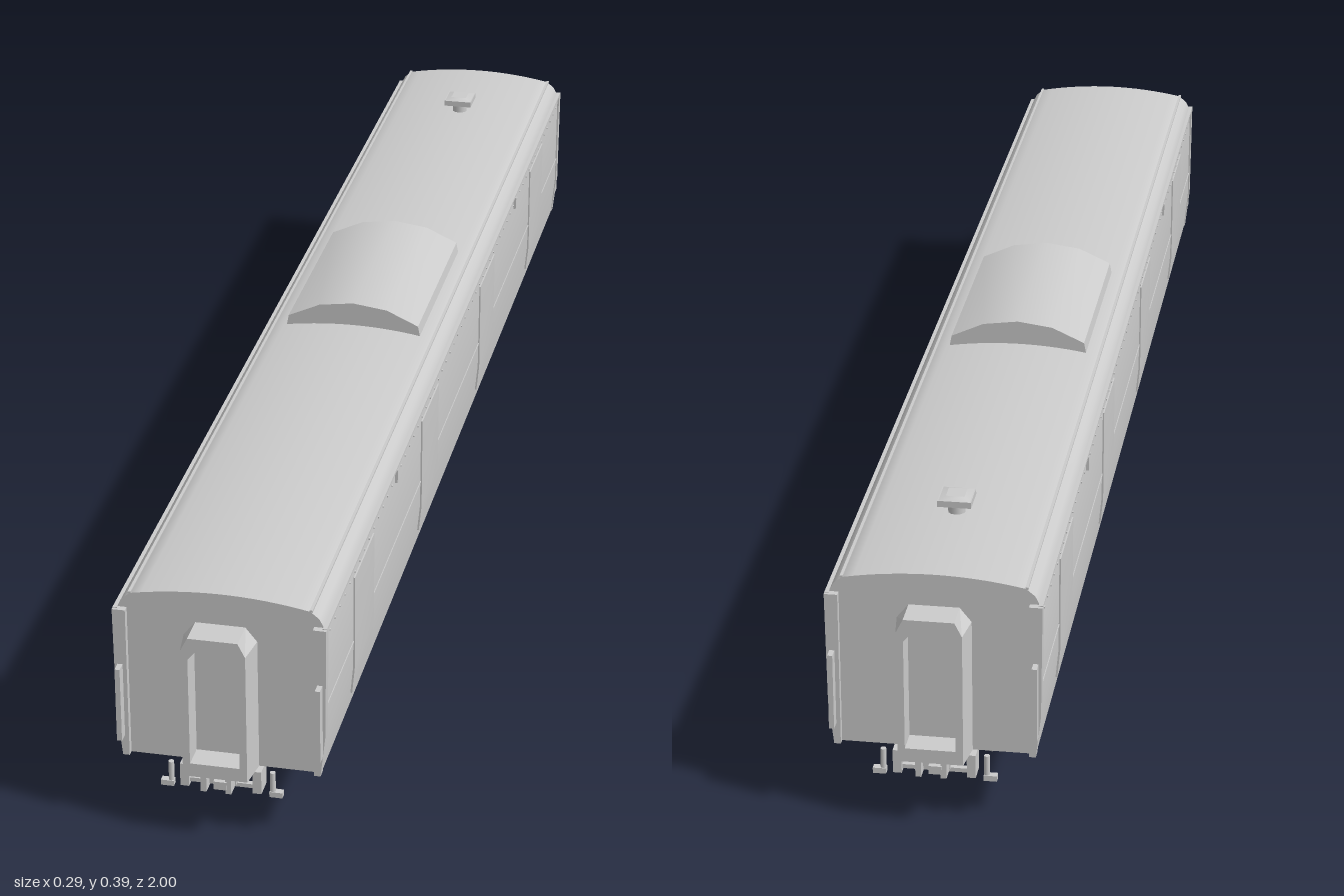
import * as THREE from 'three';
import { toCreasedNormals } from 'three/addons/utils/BufferGeometryUtils.js';

const material = new THREE.MeshStandardMaterial({ color: 0xcccccc, side: THREE.DoubleSide });

function add(parent, name, geometry, x = 0, y = 0, z = 0) {
  const mesh = new THREE.Mesh(geometry, material);
  mesh.name = name;
  mesh.position.set(x, y, z);
  parent.add(mesh);
  return mesh;
}
const box = (w, h, d) => new THREE.BoxGeometry(w, h, d);
const rodX = (r, len, n = 20) => new THREE.CylinderGeometry(r, r, len, n).rotateZ(Math.PI / 2);
const rodY = (r, len, n = 12) => new THREE.CylinderGeometry(r, r, len, n);
const shapeOf = pts => new THREE.Shape(pts.map(p => new THREE.Vector2(...p)));
// Mirrors a half outline (bottom to top) across x = 0
const mirrored = half => [...half, ...half.filter(p => p[0] > 0).reverse().map(([x, y]) => [-x, y])];

// Extrudes an outline along z, centred
function prism(shape, depth, crease = 0.5) {
  const g = new THREE.ExtrudeGeometry(shape, { depth, bevelEnabled: false, curveSegments: 8 });
  return toCreasedNormals(g.translate(0, 0, -depth / 2), crease);
}

function addBody(car) {
  // Tumblehome sides and shallow arched roof
  const half = [[0.135, 0.098], [0.141, 0.16], [0.142, 0.31], [0.14, 0.322], [0.134, 0.334], [0.122, 0.344]];
  for (let i = 1; i <= 8; i++) {
    const x = 0.122 * (1 - i / 8);
    half.push([x, 0.344 + 0.012 * (1 - (x / 0.122) ** 2)]);
  }
  add(car, 'body', prism(shapeOf(mirrored(half)), 1.91, 0.7));

  // Raised roof housing
  add(car, 'roofHousing', prism(shapeOf(mirrored([[0.104, 0.342], [0.1, 0.363], [0.052, 0.385], [0, 0.392]])), 0.315), 0, 0, -0.04);
  // Roof vent
  add(car, 'ventStem', rodY(0.012, 0.025), 0, 0.364, -0.765);
  add(car, 'ventCap', box(0.046, 0.009, 0.046), 0, 0.376, -0.765);
  add(car, 'ventTop', new THREE.CylinderGeometry(0.018, 0.032, 0.004, 4).rotateY(Math.PI / 4), 0, 0.382, -0.765);

  for (const s of [-1, 1]) {
    add(car, 'gutter', box(0.006, 0.004, 1.92), s * 0.142, 0.321, 0);
    add(car, 'roofSeam', box(0.004, 0.003, 1.91), s * 0.123, 0.3445, 0);
    add(car, 'beltSeam', box(0.002, 0.002, 1.91), s * 0.1415, 0.2, 0);
    // Sliding doors follow the side wall
    for (const z of [-0.715, -0.24, 0.24, 0.715]) {
      const outline = shapeOf([[0.13, 0.118], [0.1395, 0.118], [0.1435, 0.16], [0.144, 0.3], [0.13, 0.3]].map(([x, y]) => [s * x, y]));
      add(car, 'slidingDoor', prism(outline, 0.128), 0, 0, z);
    }
    // Row of rivets below the eaves
    const rivets = new THREE.InstancedMesh(box(0.002, 0.002, 0.004), material, 60);
    rivets.name = 'rivets';
    for (let i = 0; i < 60; i++) {
      rivets.setMatrixAt(i, new THREE.Matrix4().makeTranslation(s * 0.1425, 0.306, -0.93 + i * 1.86 / 59));
    }
    car.add(rivets);
    for (const z of [-0.495, 0.495]) add(car, 'drainSpout', box(0.006, 0.02, 0.006), s * 0.143, 0.309, z);
  }
}

// One car end, facing +z
function makeEnd() {
  const end = new THREE.Group();
  end.name = 'carEnd';
  // Tapered gangway frame with an open centre
  const frame = shapeOf(mirrored([[0.05, 0.098], [0.05, 0.29], [0.034, 0.31]]));
  const hole = mirrored([[0.034, 0.118], [0.034, 0.278], [0.024, 0.29]]);
  frame.holes.push(new THREE.Path(hole.map(p => new THREE.Vector2(...p))));
  const gangway = prism(frame, 0.045, 0.2);
  const p = gangway.attributes.position;
  for (let i = 0; i < p.count; i++) {
    if (p.getZ(i) > 0 && Math.abs(p.getX(i)) > 0.04) p.setX(i, p.getX(i) * 0.88);
  }
  gangway.computeVertexNormals();
  add(end, 'gangwayFrame', gangway, 0, 0, 0.9765);
  add(end, 'endDoor', box(0.068, 0.175, 0.012), 0, 0.205, 0.957);

  for (const s of [-1, 1]) {
    const post = shapeOf([[0.127, 0.098], [0.136, 0.098], [0.143, 0.16], [0.145, 0.322], [0.127, 0.322]].map(([x, y]) => [s * x, y]));
    add(end, 'cornerPost', prism(post, 0.015), 0, 0, 0.957);
    add(end, 'cornerHandrail', box(0.007, 0.11, 0.016), s * 0.136, 0.184, 0.972);
    add(end, 'bufferBracket', box(0.012, 0.034, 0.03), s * 0.05, 0.08, 0.955);
    add(end, 'hose', rodY(0.004, 0.035), s * 0.07, 0.077, 0.962);
    add(end, 'hoseEnd', box(0.018, 0.008, 0.01), s * 0.075, 0.062, 0.962);
    add(end, 'couplerJaw', box(0.008, 0.025, 0.022), s * 0.017, 0.087, 0.985);
  }
  add(end, 'couplerShank', box(0.026, 0.018, 0.08), 0, 0.087, 0.94);
  add(end, 'couplerPocket', box(0.042, 0.03, 0.03), 0, 0.087, 0.955);
  add(end, 'couplerKnuckle', box(0.018, 0.012, 0.016), 0.006, 0.087, 0.99);
  add(end, 'endCrossbar', box(0.11, 0.006, 0.008), 0, 0.07, 0.96);
  return end;
}

function makeBogie() {
  const bogie = new THREE.Group();
  bogie.name = 'bogie';
  // Wheel profile: flange on the inner face
  const tread = [[0, -0.005], [0.03, -0.004], [0.034, -0.006], [0.044, -0.006], [0.044, -0.002], [0.041, 0.001], [0.04, 0.006], [0.034, 0.006], [0.03, 0.002], [0, 0.004]];
  // Side frame arching between the axle boxes, drawn as (z, y)
  const sideFrame = shapeOf(mirrored([[0, 0.03], [0.035, 0.032], [0.06, 0.045], [0.085, 0.038], [0.115, 0.038], [0.118, 0.06], [0.09, 0.068], [0.065, 0.064], [0.045, 0.078], [0, 0.078]]));
  for (const s of [-1, 1]) {
    sideFrame.holes.push(new THREE.Path([[0.014, 0.045], [0.033, 0.045], [0.045, 0.056], [0.033, 0.066], [0.014, 0.066]].map(([x, y]) => new THREE.Vector2(s * x, y))));
  }
  for (const z of [-0.102, 0.102]) {
    add(bogie, 'axle', rodX(0.009, 0.165, 16), 0, 0.044, z);
    for (const s of [-1, 1]) {
      const wheel = new THREE.LatheGeometry(tread.map(q => new THREE.Vector2(...q)), 32).rotateZ(-s * Math.PI / 2);
      add(bogie, 'wheel', toCreasedNormals(wheel, 0.6), s * 0.055, 0.044, z);
      add(bogie, 'axleBox', box(0.022, 0.026, 0.028), s * 0.078, 0.046, z);
    }
  }
  for (const s of [-1, 1]) {
    add(bogie, 'sideFrame', prism(sideFrame, 0.012).rotateY(-Math.PI / 2), s * 0.078, 0, 0);
    add(bogie, 'bolsterEnd', box(0.022, 0.022, 0.05), s * 0.084, 0.076, 0);
    add(bogie, 'sideBearing', new THREE.CylinderGeometry(0.022, 0.022, 0.014, 20), s * 0.087, 0.091, 0);
    for (const z of [-0.022, 0.022]) add(bogie, 'spring', rodY(0.008, 0.034), s * 0.086, 0.052, z);
  }
  add(bogie, 'bolster', box(0.165, 0.025, 0.045), 0, 0.064, 0);
  add(bogie, 'pivot', rodY(0.026, 0.03, 20), 0, 0.086, 0);
  return bogie;
}

function addUnderfloor(car) {
  // Each box: x centre, width, lower edge, z from, z to
  const boxes = [
    [-0.08, 0.05, 0.03, 0.07, 0.345],
    [-0.075, 0.05, 0.03, -0.435, -0.24],
    [0.067, 0.05, 0.045, 0.09, 0.2],
    [0.059, 0.05, 0.03, -0.17, 0],
    [0.07, 0.04, 0.045, -0.435, -0.385],
  ];
  for (const [x, w, y, z0, z1] of boxes) {
    add(car, 'equipmentBox', box(w, 0.1 - y, z1 - z0), x, (0.1 + y) / 2, (z0 + z1) / 2);
  }
  // Air reservoirs with domed ends
  for (const [x, z] of [[0.07, -0.245], [-0.075, -0.1]]) {
    add(car, 'airReservoir', new THREE.CapsuleGeometry(0.021, 0.085, 6, 20).rotateX(Math.PI / 2), x, 0.07, z);
    for (const d of [-0.03, 0.03]) add(car, 'reservoirStrap', box(0.008, 0.03, 0.006), x, 0.093, z + d);
  }
  for (const x of [-0.035, 0.035]) add(car, 'floorPipe', rodY(0.012, 0.034, 16), x, 0.084, 0.498);
}

export function createModel() {
  const car = new THREE.Group();
  car.name = 'railwayCar';
  addBody(car);
  addUnderfloor(car);
  for (const s of [-1, 1]) {
    const bogie = makeBogie();
    bogie.position.z = s * 0.676;
    car.add(bogie);
    const end = makeEnd();
    end.rotation.y = s > 0 ? 0 : Math.PI;
    car.add(end);
  }
  return car;
}
